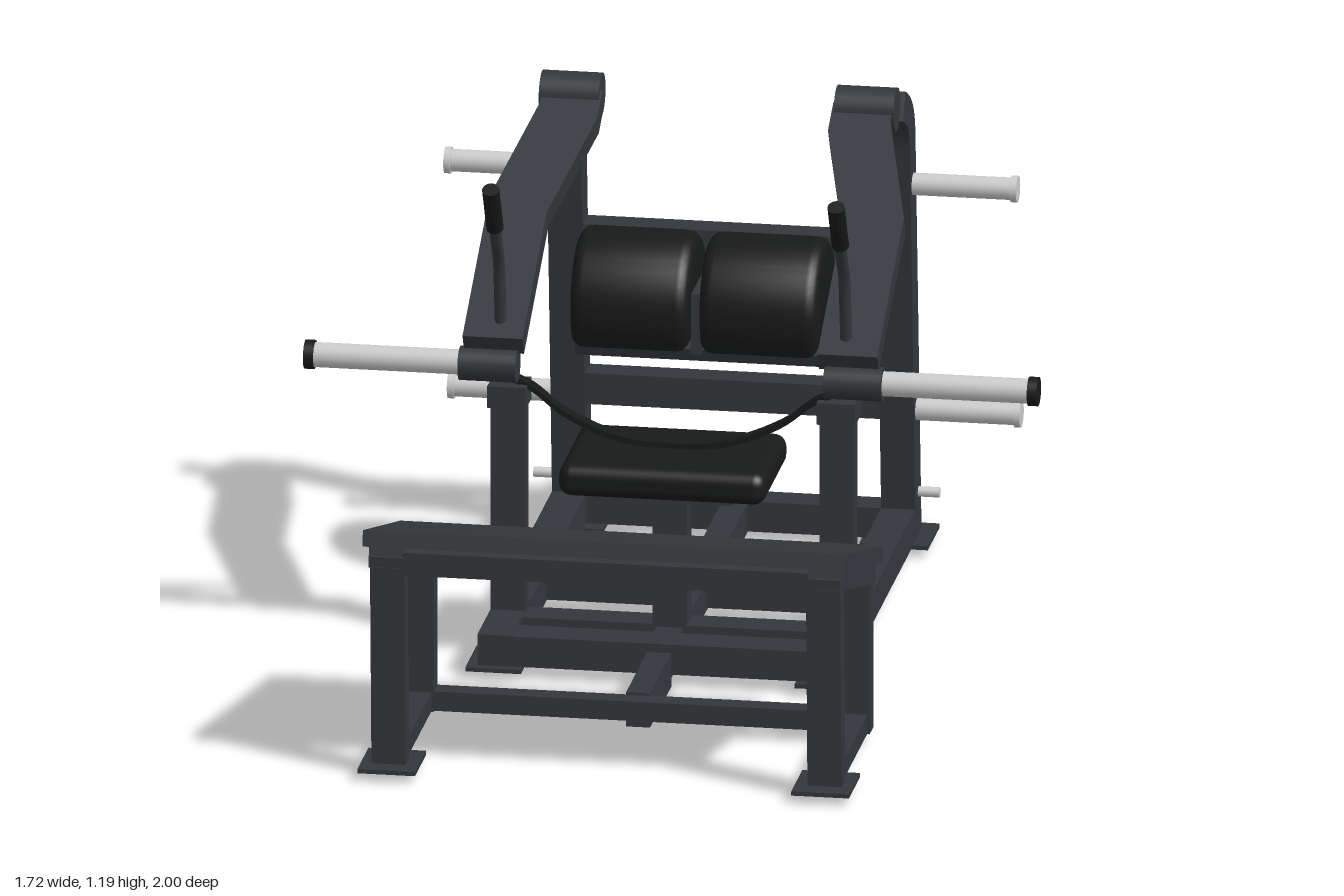
import * as THREE from 'three';
import { toCreasedNormals } from 'three/addons/utils/BufferGeometryUtils.js';
import { RoundedBoxGeometry } from 'three/addons/geometries/RoundedBoxGeometry.js';

const mat = (color) => new THREE.MeshStandardMaterial({ color });
const steel = mat(0x33373b), pad = mat(0x181919), metal = mat(0xcccccc);

export function createModel() {
  const model = new THREE.Group();

  function add(name, geometry, material = steel) {
    const mesh = new THREE.Mesh(geometry, material);
    mesh.name = name;
    model.add(mesh);
    return mesh;
  }
  // Box given by its limits on each axis
  function box(name, x0, x1, y0, y1, z0, z1, material) {
    const g = new THREE.BoxGeometry(Math.abs(x1 - x0), y1 - y0, z1 - z0);
    g.translate((x0 + x1) / 2, (y0 + y1) / 2, (z0 + z1) / 2);
    return add(name, g, material);
  }
  // Cylinder lying along x
  function rod(name, x0, x1, y, z, r, material) {
    const g = new THREE.CylinderGeometry(r, r, Math.abs(x1 - x0), 24).rotateZ(Math.PI / 2);
    g.translate((x0 + x1) / 2, y, z);
    return add(name, g, material);
  }
  // Square tube in a side plane, from [z, y] to [z, y]
  function beam(name, x, a, b, width, depth, material) {
    const dz = b[0] - a[0], dy = b[1] - a[1];
    const g = new THREE.BoxGeometry(width, depth, Math.hypot(dz, dy));
    g.rotateX(-Math.atan2(dy, dz));
    g.translate(x, (a[1] + b[1]) / 2, (a[0] + b[0]) / 2);
    return add(name, g, material);
  }
  // Side profile drawn in (z, y), extruded across x and centred on x
  function sideExtrude(name, shape, width, x, material, bevel = 0) {
    let g = new THREE.ExtrudeGeometry(shape, {
      depth: width - 2 * bevel, curveSegments: 28, bevelEnabled: bevel > 0,
      bevelSize: bevel, bevelThickness: bevel, bevelSegments: 5,
    });
    g.translate(0, 0, -(width - 2 * bevel) / 2).rotateY(-Math.PI / 2).translate(x, 0, 0);
    g = toCreasedNormals(g, 0.6);
    return add(name, g, material);
  }

  // Base frame
  box('frontCrossRail', -0.345, 0.345, 0.03, 0.103, 0.11, 0.198);
  box('seatCrossRail', -0.345, 0.345, 0.03, 0.1, -0.035, 0.045);
  box('middleCrossRail', -0.345, 0.345, 0.03, 0.1, -0.38, -0.3);
  box('rearCrossRail', -0.345, 0.345, 0.03, 0.103, -0.95, -0.87);
  box('centreRail', -0.03, 0.03, 0.025, 0.096, -0.88, 0.2);
  box('platformConnector', -0.028, 0.028, 0, 0.083, 0.195, 0.5);

  // Rear cross beams
  box('upperRearBeam', -0.35, 0.35, 0.695, 0.775, -0.885, -0.815);
  box('lowerRearBeam', -0.35, 0.35, 0.325, 0.4, -0.925, -0.855);

  // Seat with post
  box('seatPost', -0.04, 0.04, 0.09, 0.43, -0.02, 0.05);
  box('seatPlate', -0.16, 0.16, 0.425, 0.445, -0.11, 0.13);
  const seat = add('seatPad', new RoundedBoxGeometry(0.485, 0.077, 0.342, 4, 0.03), pad);
  seat.position.set(0, 0.477, 0.005);

  // Belt hanging between the front posts, over the seat
  const beltTop = new THREE.SplineCurve([
    [-0.4, 0.68], [-0.33, 0.65], [-0.25, 0.59], [-0.13, 0.54], [0, 0.528],
    [0.13, 0.54], [0.25, 0.59], [0.33, 0.65], [0.4, 0.68],
  ].map(([x, y]) => new THREE.Vector2(x, y))).getPoints(40);
  const beltLow = beltTop.map((p) => new THREE.Vector2(p.x, p.y - 0.014)).reverse();
  const belt = new THREE.ExtrudeGeometry(new THREE.Shape([...beltTop, ...beltLow]), { depth: 0.035, bevelEnabled: false });
  add('seatBelt', toCreasedNormals(belt.translate(0, 0, -0.03), 0.5), pad);

  // Back rollers and their bracket
  const roller = new THREE.Shape();
  roller.absarc(-0.43, 0.74, 0.126, -0.5, Math.PI, false);
  roller.lineTo(-0.556, 0.68);
  roller.closePath();
  box('rollerSupportBeam', -0.03, 0.03, 0.705, 0.77, -0.83, -0.575);
  box('rollerDivider', -0.013, 0.013, 0.635, 0.78, -0.57, -0.33);
  const bracket = new THREE.Shape([[-0.335, 0.645], [-0.57, 0.645], [-0.565, 0.615], [-0.345, 0.615]].map(([z, y]) => new THREE.Vector2(z, y)));
  sideExtrude('rollerBracket', bracket, 0.57, 0);

  // Foot platform
  const slope = 0.15 / 0.53;
  beam('platformBoard', 0, [0.985, 0.587], [0.452, 0.587 - 0.533 * slope], 1.13, 0.038);
  box('platformFrontRail', -0.475, 0.475, 0.495, 0.55, 0.915, 0.965);
  box('platformRearRail', -0.475, 0.475, 0.375, 0.43, 0.497, 0.548);
  box('platformFloorRail', -0.475, 0.475, 0.03, 0.077, 0.497, 0.548);

  for (const s of [-1, 1]) {
    // Platform legs
    beam('platformFrontLeg', s * 0.51, [0.945, 0.54], [0.923, 0.025], 0.08, 0.055);
    box('platformRearLeg', s * 0.47, s * 0.55, 0.028, 0.43, 0.495, 0.55);
    box('platformSideFloorRail', s * 0.475, s * 0.545, 0.03, 0.075, 0.54, 0.91);
    beam('platformSideRail', s * 0.515, [0.965, 0.537], [0.49, 0.537 - 0.475 * slope], 0.078, 0.05);
    box('platformFoot', s * 0.44, s * 0.575, 0.02, 0.03, 0.84, 1);

    // Side rail, feet and front post
    box('sideRail', s * 0.345, s * 0.425, 0.028, 0.105, -0.92, 0.2);
    box('frontFoot', s * 0.32, s * 0.45, 0.02, 0.03, 0.06, 0.22);
    box('rearFoot', s * 0.3, s * 0.46, 0.02, 0.03, -1, -0.83);
    box('frontPost', s * 0.345, s * 0.425, 0.09, 0.65, -0.04, 0.015);
    box('frontPostCap', s * 0.34, s * 0.43, 0.6, 0.652, -0.057, 0.03);

    // Rear upright curving forward at the top
    const up = new THREE.Shape();
    up.moveTo(-0.955, 0.03);
    up.lineTo(-0.87, 1.0);
    up.bezierCurveTo(-0.865, 1.09, -0.82, 1.125, -0.725, 1.168);
    up.lineTo(-0.695, 1.105);
    up.bezierCurveTo(-0.76, 1.075, -0.785, 1.06, -0.79, 0.99);
    up.lineTo(-0.872, 0.03);
    up.closePath();
    sideExtrude('rearUpright', up, 0.08, s * 0.385);

    // Plate storage pegs
    for (const [y, z] of [[0.907, -0.838], [0.343, -0.889]]) {
      rod('storagePeg', s * 0.42, s * 0.66, y, z, 0.026, metal);
      rod('storagePegRim', s * 0.655, s * 0.67, y, z, 0.031, metal);
    }
    rod('bandPeg', s * 0.42, s * 0.475, 0.135, -0.912, 0.012, metal);

    // Lever arm, bent outward, hanging from the pivot
    rod('armPivot', s * 0.275, s * 0.415, 1.143, -0.665, 0.051);
    const plan = new THREE.Shape([
      [0.27, 0], [0.27, 0.09], [0.345, 0.39], [0.345, 0.79],
      [0.485, 0.79], [0.485, 0.35], [0.41, 0.05], [0.41, 0],
    ].map(([x, l]) => new THREE.Vector2(s * x, l)));
    const arm = new THREE.ExtrudeGeometry(plan, { depth: 0.05, bevelEnabled: false });
    arm.translate(0, 0, -0.025).rotateX(Math.PI / 2 + Math.atan2(0.385, 0.69));
    arm.translate(0, 1.14, -0.655);
    add('leverArm', arm);

    // Loading peg under the end of the arm
    rod('loadingCollar', s * 0.36, s * 0.495, 0.703, 0.02, 0.04);
    rod('loadingPeg', s * 0.49, s * 0.84, 0.703, 0.015, 0.029, metal);
    rod('loadingPegCap', s * 0.835, s * 0.858, 0.703, 0.015, 0.034, pad);

    // Bent handle with a grip
    const pt = (y, z) => new THREE.Vector3(s * 0.404, y, z);
    const bend = new THREE.CatmullRomCurve3([pt(0.76, -0.01), pt(0.87, 0.005), pt(0.95, 0.02), pt(1.01, 0.052), pt(1.07, 0.085)]);
    add('handle', new THREE.TubeGeometry(bend, 24, 0.014, 14));
    const grip = add('handleGrip', new THREE.CylinderGeometry(0.02, 0.02, 0.13, 20), pad);
    grip.position.set(s * 0.404, 1.11, 0.107);
    grip.rotation.x = Math.atan2(0.055, 0.1);

    sideExtrude('backRoller', roller, 0.278, s * 0.151, pad, 0.03);
  }
  return model;
}
